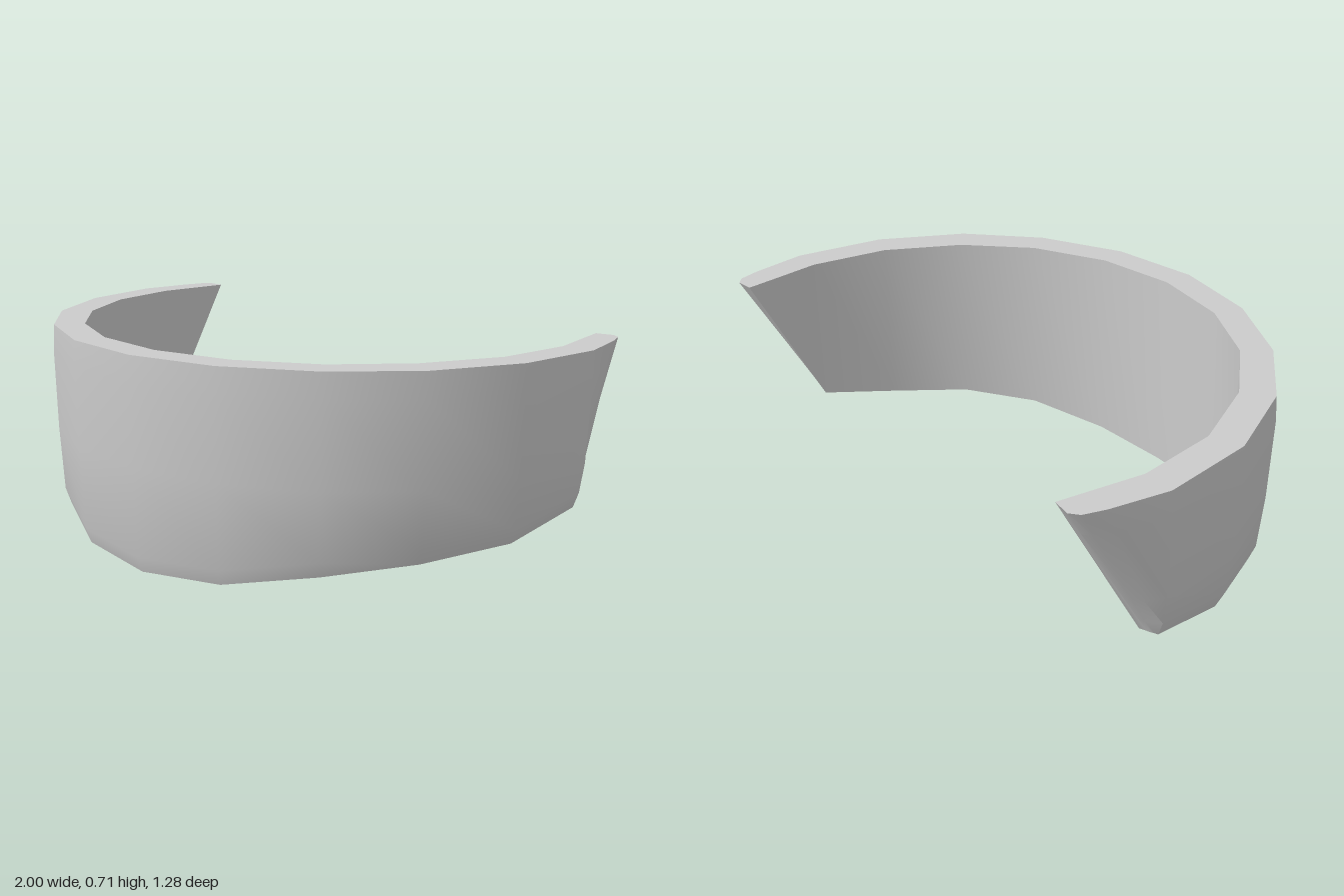
import * as THREE from 'three';
import { toCreasedNormals } from 'three/addons/utils/BufferGeometryUtils.js';

const TOP = 0.715;

// Half of the band, front centre to rear tip:
// outer top x,z | outer bottom x,z,y | inner top x,z | inner bottom x,z,y
const STATIONS = [
  [0, 0.635, 0, 0.6, 0.02, 0, 0.53, 0, 0.53, 0],
  [0.31, 0.585, 0.295, 0.555, 0.038, 0.28, 0.485, 0.28, 0.485, 0.025],
  [0.59, 0.44, 0.565, 0.415, 0.09, 0.53, 0.355, 0.53, 0.355, 0.075],
  [0.805, 0.23, 0.775, 0.205, 0.125, 0.72, 0.16, 0.72, 0.16, 0.108],
  [0.95, -0.05, 0.91, -0.075, 0.15, 0.85, -0.09, 0.85, -0.09, 0.13],
  [0.995, -0.36, 0.96, -0.35, 0.212, 0.89, -0.36, 0.89, -0.36, 0.195],
  [0.96, -0.55, 0.95, -0.354, 0.212, 0.865, -0.53, 0.89, -0.36, 0.195],
  [0.938, -0.62, 0.94, -0.358, 0.21, 0.855, -0.6, 0.89, -0.36, 0.195],
  [0.91, -0.643, 0.92, -0.36, 0.208, 0.85, -0.635, 0.89, -0.36, 0.195],
];

// Closed cross-section: inner top, outer top, down the outside, inner bottom
function section(i) {
  const [tx, tz, bx, bz, by, ix, iz, jx, jz, jy] = STATIONS[Math.abs(i)];
  const side = i < 0 ? -1 : 1;
  const outer = (y, f) => {
    // the rear columns follow the straight slant of the end
    const g = Math.abs(i) > 4 ? (y - by) / (TOP - by) : f;
    return [bx + (tx - bx) * f, y, bz + (tz - bz) * g];
  };
  return [
    [ix, TOP, iz],
    outer(TOP, 1), outer(0.63, 1.12), outer(0.36, 0.9), outer(by + 0.05, 0.5), outer(by, 0),
    [jx, jy, jz],
  ].map(([x, y, z]) => new THREE.Vector3(x * side, y, z));
}

function bandGeometry() {
  const positions = [];
  const triangle = (a, b, c) => {
    if (a.equals(b) || b.equals(c) || a.equals(c)) return;
    for (const p of [a, b, c]) positions.push(p.x, p.y, p.z);
  };
  const last = STATIONS.length - 1;
  const rings = [];
  for (let i = -last; i <= last; i++) rings.push(section(i));

  // Skin between neighbouring cross-sections
  for (let s = 0; s < rings.length - 1; s++) {
    const p = rings[s], q = rings[s + 1], n = p.length;
    for (let k = 0; k < n; k++) {
      const m = (k + 1) % n;
      triangle(p[k], p[m], q[m]);
      triangle(p[k], q[m], q[k]);
    }
  }
  // Slanted end faces
  const first = rings[0], end = rings[rings.length - 1];
  for (let k = 1; k < end.length - 1; k++) {
    triangle(end[0], end[k], end[k + 1]);
    triangle(first[0], first[k + 1], first[k]);
  }
  const geometry = new THREE.BufferGeometry();
  geometry.setAttribute('position', new THREE.Float32BufferAttribute(positions, 3));
  return toCreasedNormals(geometry, 0.65);
}

export function createModel() {
  const group = new THREE.Group();
  const band = new THREE.Mesh(bandGeometry(), new THREE.MeshStandardMaterial({ color: 0xcccccc }));
  band.name = 'curvedBand';
  group.add(band);
  return group;
}
